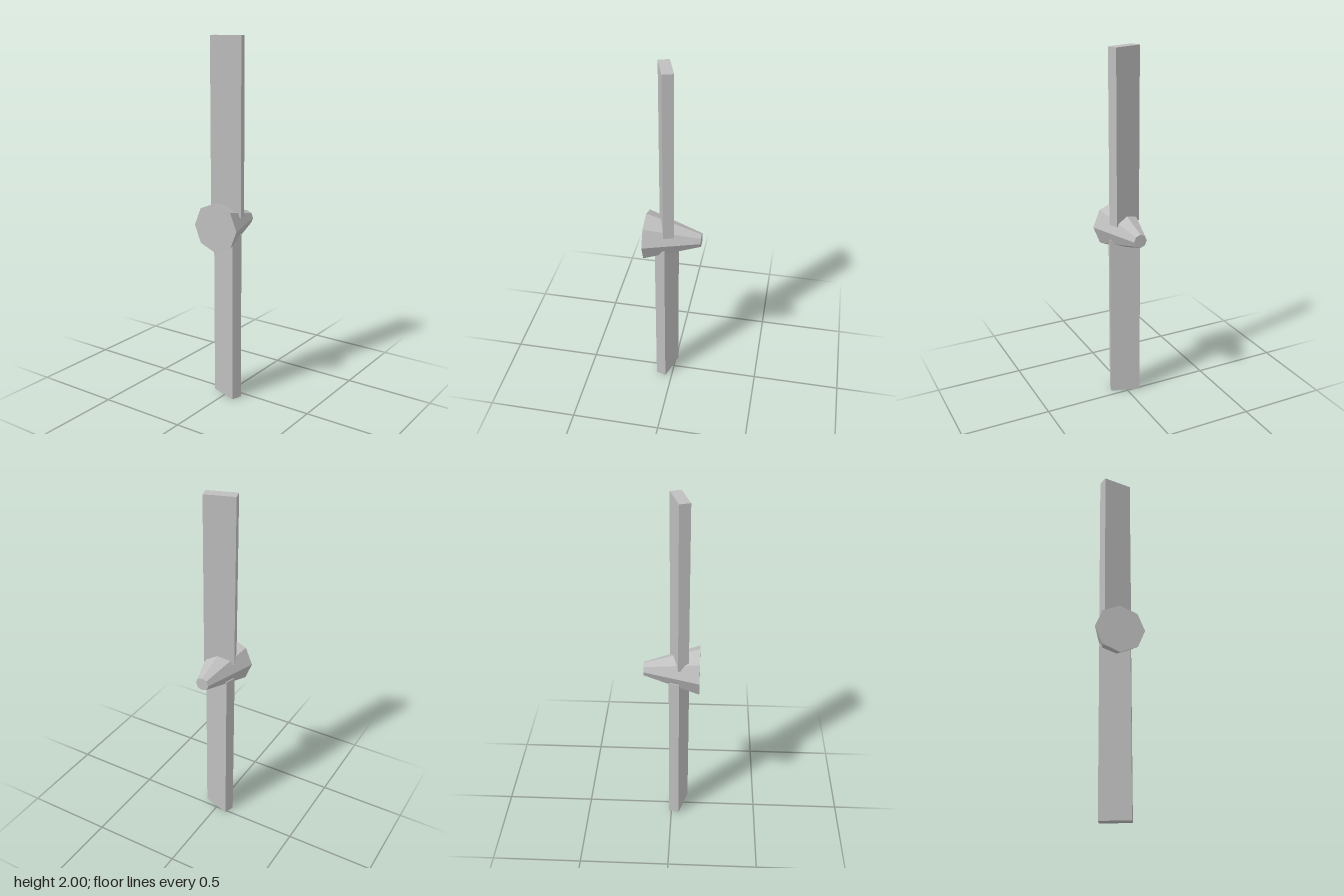
import * as THREE from 'three';

export function createModel() {
  const model = new THREE.Group();
  model.name = 'propeller';
  const grey = new THREE.MeshStandardMaterial({ color: 0xbfbfbf, flatShading: true });
  grey.name = 'grey';

  // Eight-sided tapered hub, pointing to +x
  const hub = new THREE.Mesh(new THREE.CylinderGeometry(0.038, 0.137, 0.306, 8), grey);
  hub.name = 'hub';
  hub.rotation.z = -Math.PI / 2;
  hub.position.y = 1;
  model.add(hub);

  // Two blades, pitched in opposite directions
  const root = 0.045, length = 1 - root;
  for (const [name, side] of [['upperBlade', 1], ['lowerBlade', -1]]) {
    const blade = new THREE.Mesh(new THREE.BoxGeometry(0.06, length, 0.168), grey);
    blade.name = name;
    blade.position.set(-0.04, 1 + side * (root + length / 2), 0);
    blade.rotation.y = side * 0.31;
    model.add(blade);
  }
  return model;
}
